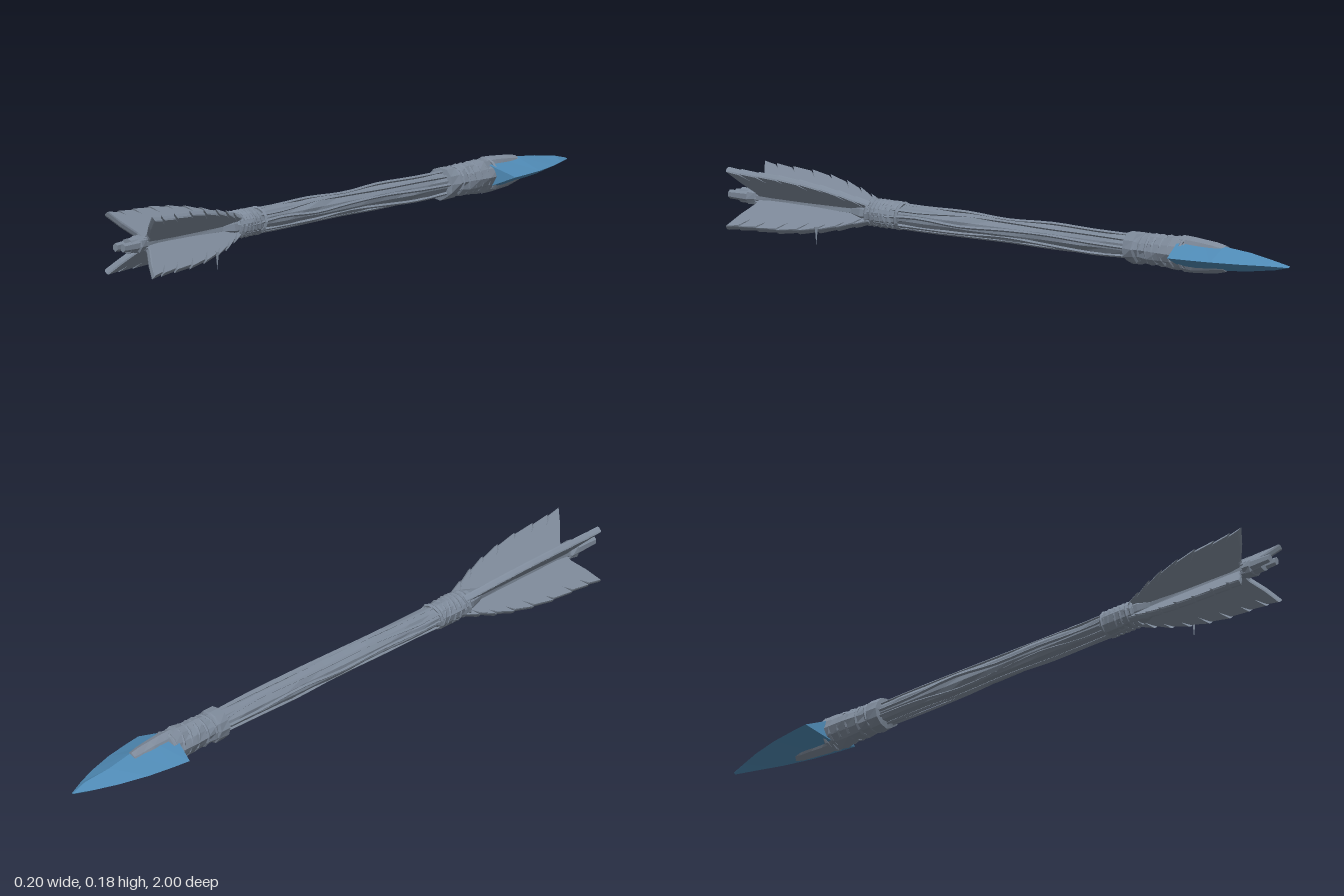
import * as THREE from 'three';

const AXIS_Y = 0.098;

// Repeatable noise in -1..1 taken from a position, so seams stay closed
function noise(x, y, z) {
  const q = (v) => Math.round(v * 1000) / 1000;
  const s = Math.sin(q(x) * 127.1 + q(y) * 311.7 + q(z) * 74.7) * 43758.5453;
  return (s - Math.floor(s)) * 2 - 1;
}

// Uneven round body along z; profile is [z, radius] with z rising
function roughBody(profile, sides, jitter) {
  const pts = profile.map(([z, r]) => new THREE.Vector2(r, z));
  const geo = new THREE.LatheGeometry(pts, sides);
  geo.rotateX(Math.PI / 2);
  const p = geo.attributes.position;
  for (let i = 0; i < p.count; i++) {
    const k = 1 + jitter * noise(p.getX(i), p.getY(i), p.getZ(i));
    p.setX(i, p.getX(i) * k);
    p.setY(i, p.getY(i) * k);
  }
  geo.computeVertexNormals();
  return geo;
}

// Chipped stone blade: diamond sections [edge z, half width, ridge z, half height]
function bladeGeometry() {
  const rows = [
    [-1, 0.002, -1, 0.002], [-0.94, 0.028, -0.945, 0.014], [-0.87, 0.054, -0.86, 0.025],
    [-0.78, 0.078, -0.77, 0.034], [-0.7, 0.091, -0.69, 0.039], [-0.645, 0.098, -0.61, 0.041],
  ];
  const ring = rows.map(([ze, w, zm, h], i) => {
    const chip = i % 2 ? 0.004 : -0.003;
    return [[w, 0, ze], [chip, h, zm], [-w, 0, ze], [-chip, -h, zm]];
  });
  const pos = [];
  for (let i = 0; i < ring.length - 1; i++) {
    for (let j = 0; j < 4; j++) {
      const k = (j + 1) % 4;
      const a = ring[i][j], b = ring[i][k], c = ring[i + 1][k], d = ring[i + 1][j];
      pos.push(...a, ...b, ...c, ...a, ...c, ...d);
    }
  }
  const e = ring[ring.length - 1];
  pos.push(...e[0], ...e[1], ...e[3], ...e[1], ...e[2], ...e[3]);
  const geo = new THREE.BufferGeometry();
  geo.setAttribute('position', new THREE.Float32BufferAttribute(pos, 3));
  geo.computeVertexNormals();
  return geo;
}

// Feather vane with slanted splits along the outer edge, lying in the y-z plane
function vaneGeometry(seed) {
  const s = new THREE.Shape();
  s.moveTo(0.49, 0.012);
  s.lineTo(0.49, 0.036);
  const edge = new THREE.SplineCurve([
    [0.49, 0.036], [0.56, 0.064], [0.65, 0.088], [0.76, 0.104], [0.87, 0.108], [0.95, 0.113],
  ].map(([z, r]) => new THREE.Vector2(z, r)));
  for (let i = 1; i <= 8; i++) {
    const a = edge.getPoint(i / 8);
    s.lineTo(a.x, a.y);
    if (i < 8) {
      const cut = 0.012 + 0.009 * (1 + noise(i, seed, 3));
      s.lineTo(a.x - 0.9 * cut, a.y - cut);
      s.lineTo(a.x + 0.006, a.y - 0.004);
    }
  }
  s.lineTo(0.925, 0.07);
  s.lineTo(0.895, 0.03);
  s.lineTo(0.89, 0.012);
  const t = 0.01;
  const geo = new THREE.ExtrudeGeometry(s, {
    depth: t, bevelThickness: 0.004, bevelSize: 0.002, bevelSegments: 1,
  });
  geo.translate(0, 0, -t / 2);
  geo.rotateY(-Math.PI / 2);
  return geo;
}

export function createModel() {
  const model = new THREE.Group();
  const body = new THREE.Group();
  body.name = 'arrow';
  body.position.y = AXIS_Y;
  model.add(body);

  const grey = new THREE.MeshStandardMaterial({ color: 0x7e8a9a, flatShading: true });
  grey.name = 'weathered grey';
  const blue = new THREE.MeshStandardMaterial({ color: 0x4f8ab5, flatShading: true });
  blue.name = 'blue stone';

  const add = (name, geo, mat = grey, parent = body) => {
    const m = new THREE.Mesh(geo, mat);
    m.name = name;
    parent.add(m);
    return m;
  };

  // Wooden shaft, thinner under the feathers
  const main = [[-0.62, 0.001]];
  for (let i = 0; i <= 14; i++) main.push([-0.6 + i * 0.08, 0.031]);
  main.push([0.56, 0.02], [0.7, 0.017], [0.85, 0.017], [0.9, 0.02], [0.965, 0.02], [0.966, 0.001]);
  add('shaft', roughBody(main, 10, 0.08));

  // Splintered strands running along the shaft
  for (let k = 0; k < 8; k++) {
    const pts = [];
    for (let i = 0; i <= 6; i++) {
      const z = -0.46 + i * 0.155;
      const a = (k / 8) * Math.PI * 2 + 0.25 * noise(k, i, 1);
      const r = 0.032 + 0.003 * noise(k, i, 2);
      pts.push(new THREE.Vector3(Math.cos(a) * r, Math.sin(a) * r, z));
    }
    add('strand', new THREE.TubeGeometry(new THREE.CatmullRomCurve3(pts), 18, 0.0045, 4));
  }

  // Split nock at the tail end
  for (const side of [-1, 1]) {
    const g = new THREE.CylinderGeometry(0.008, 0.01, 0.07, 6);
    g.rotateX(Math.PI / 2);
    g.scale(1, 1.5, 1);
    g.translate(side * 0.013, 0, 0.965);
    add('nockProng', g);
  }
  add('nockBinding', roughBody([[0.9, 0.016], [0.905, 0.024], [0.93, 0.025], [0.935, 0.016]], 9, 0.1));

  // Stone head
  add('blade', bladeGeometry(), blue);

  // Sinew tongue lying along the ridges of the blade, narrow sideways
  const tongue = roughBody([
    [-0.78, 0.003], [-0.772, 0.036], [-0.74, 0.041], [-0.7, 0.045], [-0.66, 0.048], [-0.62, 0.048], [-0.61, 0.02],
  ], 10, 0.06);
  tongue.scale(0.65, 1, 1);
  add('tongue', tongue);

  // Sinew socket behind the blade, with a flared rear rim
  add('socket', roughBody([
    [-0.655, 0.02], [-0.645, 0.043], [-0.6, 0.046], [-0.56, 0.044], [-0.52, 0.042],
    [-0.475, 0.041], [-0.47, 0.046], [-0.435, 0.045], [-0.432, 0.028],
  ], 12, 0.08));

  // Cord windings around the socket and in front of the feathers
  const winding = (name, z, r, tube, tilt) => {
    const t = add(name, new THREE.TorusGeometry(r, tube, 5, 14));
    t.position.z = z;
    t.rotation.set(tilt, -tilt * 0.7, 0);
  };
  for (let i = 0; i < 6; i++) winding('socketCord', -0.635 + i * 0.03, 0.043 - i * 0.0008, 0.005, 0.25 * noise(i, 4, 4));
  for (let i = 0; i < 7; i++) winding('featherCord', 0.39 + i * 0.018, 0.034, 0.006, 0.25 * noise(i, 7, 5));
  add('featherBinding', roughBody([[0.38, 0.03], [0.4, 0.037], [0.46, 0.037], [0.5, 0.035], [0.52, 0.02]], 11, 0.08));

  // Four feathers set in a diagonal cross, each with a quill
  for (let k = 0; k < 4; k++) {
    const feather = new THREE.Group();
    feather.name = 'feather';
    feather.rotation.z = Math.PI / 4 + (k * Math.PI) / 2;
    body.add(feather);
    add('vane', vaneGeometry(k + 1), grey, feather);
    const quill = new THREE.CylinderGeometry(0.006, 0.01, 0.42, 6);
    quill.rotateX(Math.PI / 2);
    quill.translate(0, 0.018, 0.7);
    add('quill', quill, grey, feather);
  }

  // Loose barb hanging from the lower left feather
  const barb = new THREE.ConeGeometry(0.006, 0.05, 4);
  barb.rotateX(Math.PI);
  barb.translate(0.064, -0.073, 0.645);
  add('looseBarb', barb);

  return model;
}
